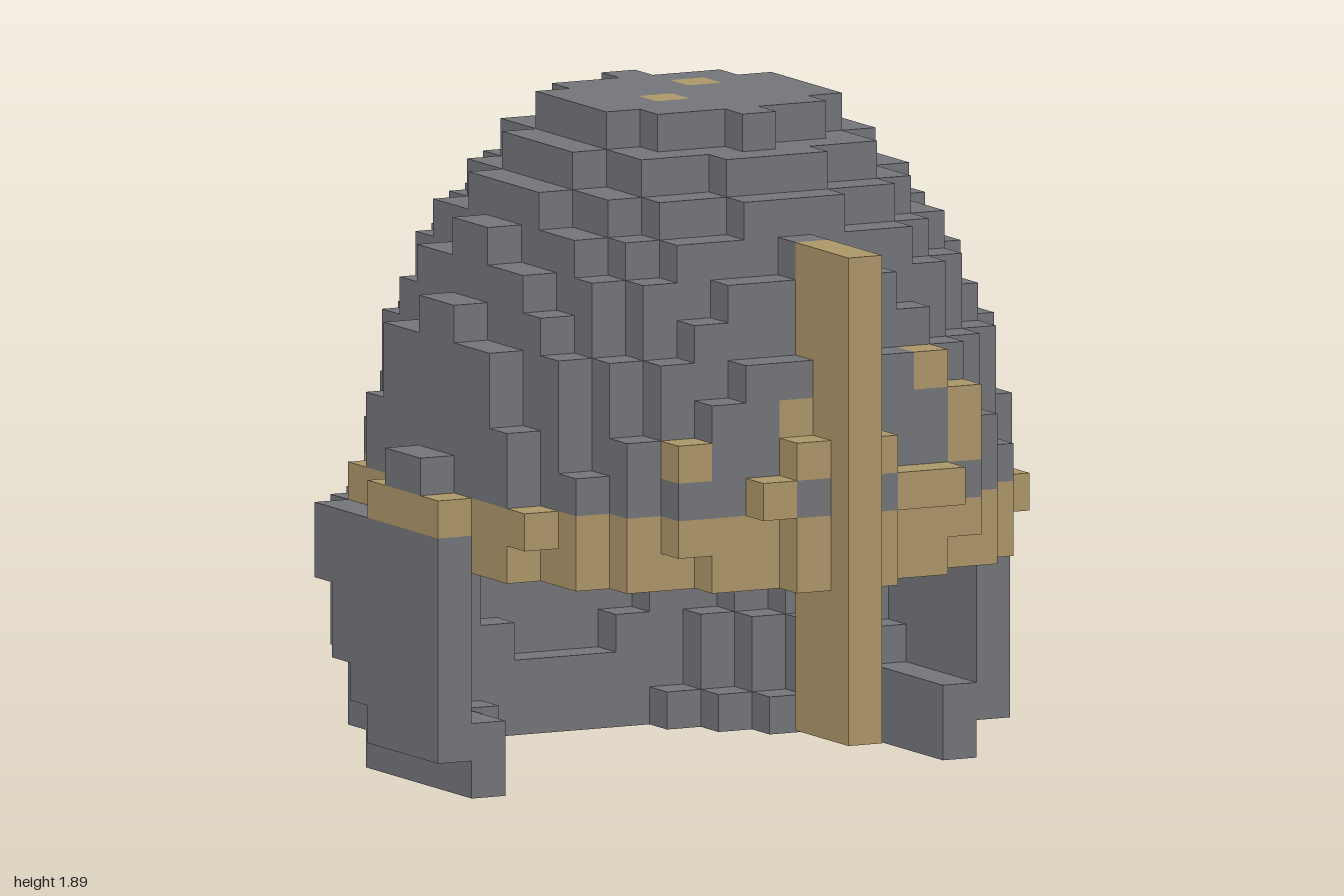
import * as THREE from 'three';

const S = 2 / 19;      // edge of one cube
const ZC = 8.5;        // middle of the bowl, in cube rows from the back
const CUT = 10;        // last row of the neck guard; the face is open in front

const steel = new THREE.MeshStandardMaterial({ color: 0x727479 });
steel.name = 'steel grey';
const brass = new THREE.MeshStandardMaterial({ color: 0xac9669 });
brass.name = 'dull brass';

// Horizontal ellipse with squared half width a2, its squared depth larger by the given ratio
const inEllipse = (i, k, a2, ratio) => i * i / a2 + (k - ZC) ** 2 / (a2 * ratio) <= 1;

// Squared half widths of the bowl, from the brow (layer 6) to the crown (layer 17)
const BOWL = [64.6, 66.75, 65.4, 62.3, 59, 54.6, 49.5, 43.6, 36.95, 29.1, 20.6, 11.3];

const inDome = (i, j, k) => j <= 17 && inEllipse(i, k, BOWL[j - 6], 1.148);
const inGuard = (i, j, k) =>
  Math.abs(i) <= 8 && Math.abs(k - ZC) <= 8.5 && inEllipse(i, k, 84.2 - 0.45 * (j - 7) ** 2, 1.12);
const inside = (i, j, k) => ((j >= 7 || (j === 6 && k > CUT)) ? inDome : inGuard)(i, j, k);

// Neighbours across faces, and across faces and edges
const DIRS = [[1, 0, 0], [-1, 0, 0], [0, 1, 0], [0, -1, 0], [0, 0, 1], [0, 0, -1]];
const NEAR = [];
for (let x = -1; x <= 1; x++) for (let y = -1; y <= 1; y++) for (let z = -1; z <= 1; z++) {
  if (Math.abs(x) + Math.abs(y) + Math.abs(z) < 3) NEAR.push([x, y, z]);
}
const key = (i, j, k) => `${i},${j},${k}`;

// Faces of the cubes of one part, leaving out those hidden by a neighbour
function cubesGeometry(cells, all) {
  const pos = [], nor = [];
  for (const c of cells) {
    for (const d of DIRS) {
      if (all.has(key(c[0] + d[0], c[1] + d[1], c[2] + d[2]))) continue;
      const n = new THREE.Vector3(...d);
      const u = new THREE.Vector3(Math.abs(d[1]), Math.abs(d[2]), Math.abs(d[0]));
      const v = n.clone().cross(u);
      const mid = new THREE.Vector3(c[0], c[1] + 0.5, c[2] - 9).addScaledVector(n, 0.5);
      for (const [a, b] of [[-1, -1], [1, -1], [1, 1], [-1, -1], [1, 1], [-1, 1]]) {
        const p = mid.clone().addScaledVector(u, a / 2).addScaledVector(v, b / 2).multiplyScalar(S);
        pos.push(p.x, p.y, p.z);
        nor.push(...d);
      }
    }
  }
  const g = new THREE.BufferGeometry();
  g.setAttribute('position', new THREE.Float32BufferAttribute(pos, 3));
  g.setAttribute('normal', new THREE.Float32BufferAttribute(nor, 3));
  return g;
}

export function createModel() {
  const group = new THREE.Group();
  group.name = 'helmet';
  const all = new Map();   // cube -> its part and place
  const put = (part, i, j, k) => all.set(key(i, j, k), { part, cell: [i, j, k] });

  // Shell without gaps along cube edges: bowl, brow band and neck guard
  for (let j = 0; j <= 17; j++) {
    for (let i = -8; i <= 8; i++) {
      for (let k = 0; k <= 18; k++) {
        if (j < 6 && k > CUT) continue;
        if (!inside(i, j, k)) continue;
        if (NEAR.every((d) => inside(i + d[0], j + d[1], k + d[2]))) continue;
        const band = j === 7 || (j === 6 && k > CUT);
        put(band ? 'browBand' : j > 7 ? 'dome' : 'neckGuard', i, j, k);
      }
    }
  }

  // Nose guard standing out of the front
  for (let j = 2; j <= 14; j++) for (let k = 16; k <= 18; k++) put('noseGuard', 0, j, k);

  // Brass ornaments on the brow
  const ornaments = [
    [-2, 8, 17], [-1, 9, 17], [-1, 10, 16], [1, 9, 17], [2, 8, 17], [3, 8, 17],
    [4, 9, 16], [4, 10, 16], [3, 11, 16], [-4, 9, 16],
  ];
  for (const c of ornaments) put('browOrnament', ...c);

  // Two brass studs on the crown
  put('crownStud', 1, 17, 7);
  put('crownStud', -1, 17, 9);

  const materials = {
    dome: steel, neckGuard: steel, browBand: brass,
    noseGuard: brass, browOrnament: brass, crownStud: brass,
  };
  for (const [name, material] of Object.entries(materials)) {
    const cells = [...all.values()].filter((e) => e.part === name).map((e) => e.cell);
    const mesh = new THREE.Mesh(cubesGeometry(cells, all), material);
    mesh.name = name;
    group.add(mesh);
  }
  return group;
}
